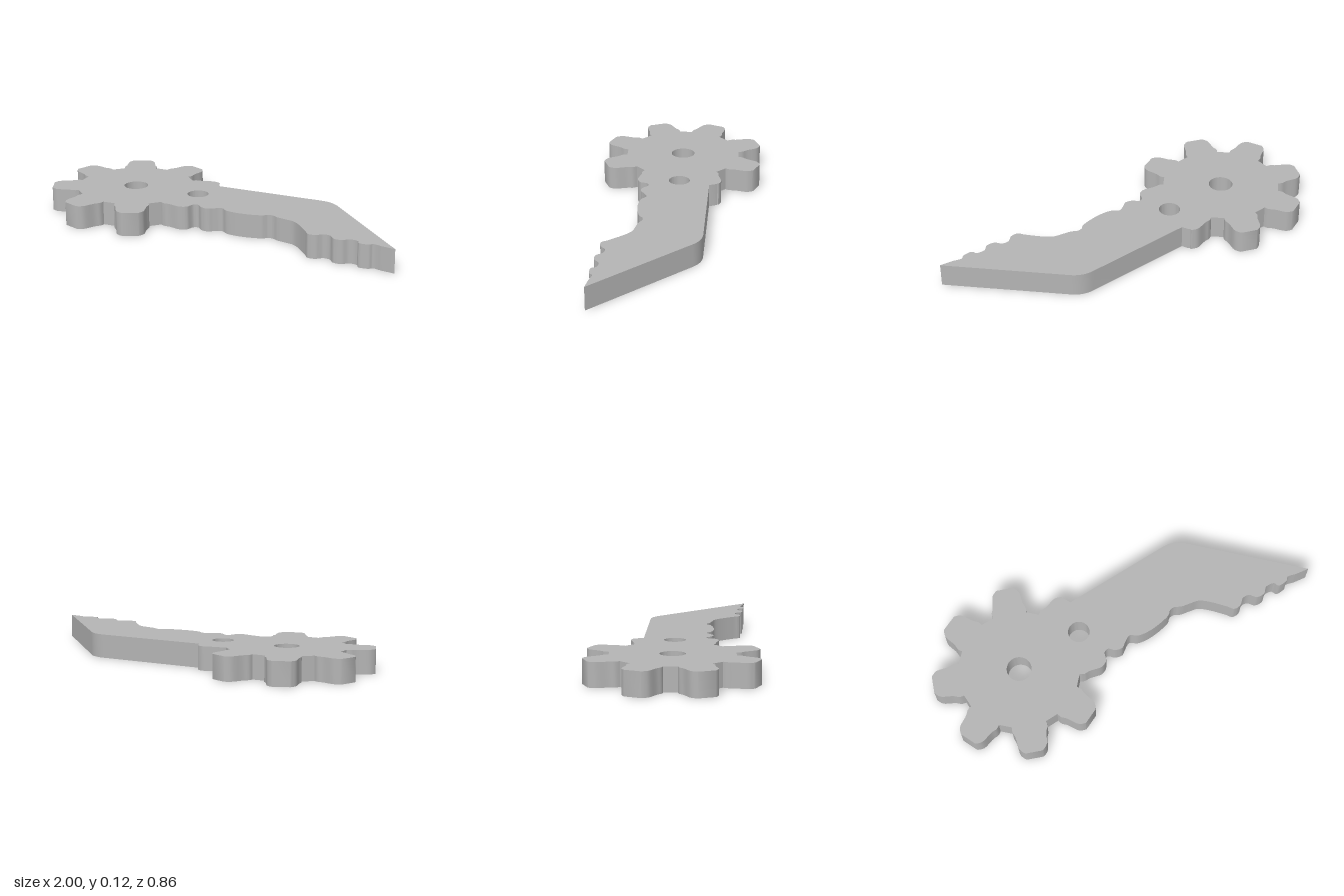
import * as THREE from 'three';
import { toCreasedNormals } from 'three/addons/utils/BufferGeometryUtils.js';

const THICKNESS = 0.125;
const GEAR_X = -0.568;
const TEETH = 8;

// Half of one gear tooth, root to tip: [distance from gear centre, half width]
const FLANK = [[0.3, 0.087], [0.325, 0.09], [0.356, 0.079], [0.413, 0.072], [0.437, 0.056], [0.447, 0.043]];

// Serrated lower edge, from the gear to the point
const SERRATION = [
  [-0.165, -0.203], [-0.152, -0.168], [-0.125, -0.161], [-0.099, -0.187], [-0.061, -0.197],
  [-0.03, -0.178], [0.008, -0.161], [0.045, -0.187], [0.1, -0.197], [0.165, -0.195], [0.235, -0.182],
  [0.262, -0.162], [0.291, -0.161], [0.323, -0.178], [0.371, -0.189], [0.42, -0.203],
  [0.468, -0.246], [0.52, -0.308], [0.545, -0.341], [0.585, -0.341], [0.618, -0.316],
  [0.655, -0.321], [0.682, -0.353], [0.725, -0.357], [0.757, -0.332], [0.8, -0.337],
  [0.816, -0.364], [0.864, -0.364], [0.885, -0.348], [0.928, -0.36],
];

const smooth = (pts, n) => new THREE.SplineCurve(pts).getPoints(n);

// One side of a tooth at the given angle; side is -1 or 1
function flank(angle, side) {
  const c = Math.cos(angle), s = Math.sin(angle);
  const pts = FLANK.map(([u, v]) =>
    new THREE.Vector2(GEAR_X + u * c - side * v * s, u * s + side * v * c));
  return smooth(side < 0 ? pts : pts.reverse(), 14);
}

function circleHole(x, radius) {
  const hole = new THREE.Path();
  hole.absarc(x, 0, radius, 0, Math.PI * 2, true);
  return hole;
}

function outline() {
  const pts = [];
  // Gear teeth, counterclockwise; the first and last run into the arm
  for (let i = 0; i < TEETH; i++) {
    const angle = (i + 0.5) * Math.PI * 2 / TEETH;
    if (i > 0) pts.push(...flank(angle, -1));
    if (i < TEETH - 1) pts.push(...flank(angle, 1));
  }
  // Arm: serrated edge, sharp point, then the straight back
  pts.push(...smooth(SERRATION.map(p => new THREE.Vector2(...p)), 150));
  const point = new THREE.Vector2(1, -0.372);
  const bend = new THREE.QuadraticBezierCurve(
    new THREE.Vector2(0.545, 0.105), new THREE.Vector2(0.5, 0.155), new THREE.Vector2(0.43, 0.155));
  pts.push(point, ...bend.getPoints(10));
  pts.push(new THREE.Vector2(-0.15, 0.162), new THREE.Vector2(-0.163, 0.192), new THREE.Vector2(-0.172, 0.205));

  const shape = new THREE.Shape(pts);
  shape.holes.push(circleHole(GEAR_X, 0.064), circleHole(-0.202, 0.056));
  return shape;
}

export function createModel() {
  const group = new THREE.Group();
  group.name = 'gearArm';
  const grey = new THREE.MeshStandardMaterial({ color: 0xb4b4b4 });
  grey.name = 'grey';

  // Flat plate lying on the ground
  const geometry = new THREE.ExtrudeGeometry(outline(), { depth: THICKNESS, bevelEnabled: false, curveSegments: 24 });
  geometry.rotateX(-Math.PI / 2);
  geometry.clearGroups();
  const plate = new THREE.Mesh(toCreasedNormals(geometry, 0.6), grey);
  plate.name = 'gearArmPlate';
  group.add(plate);
  return group;
}
